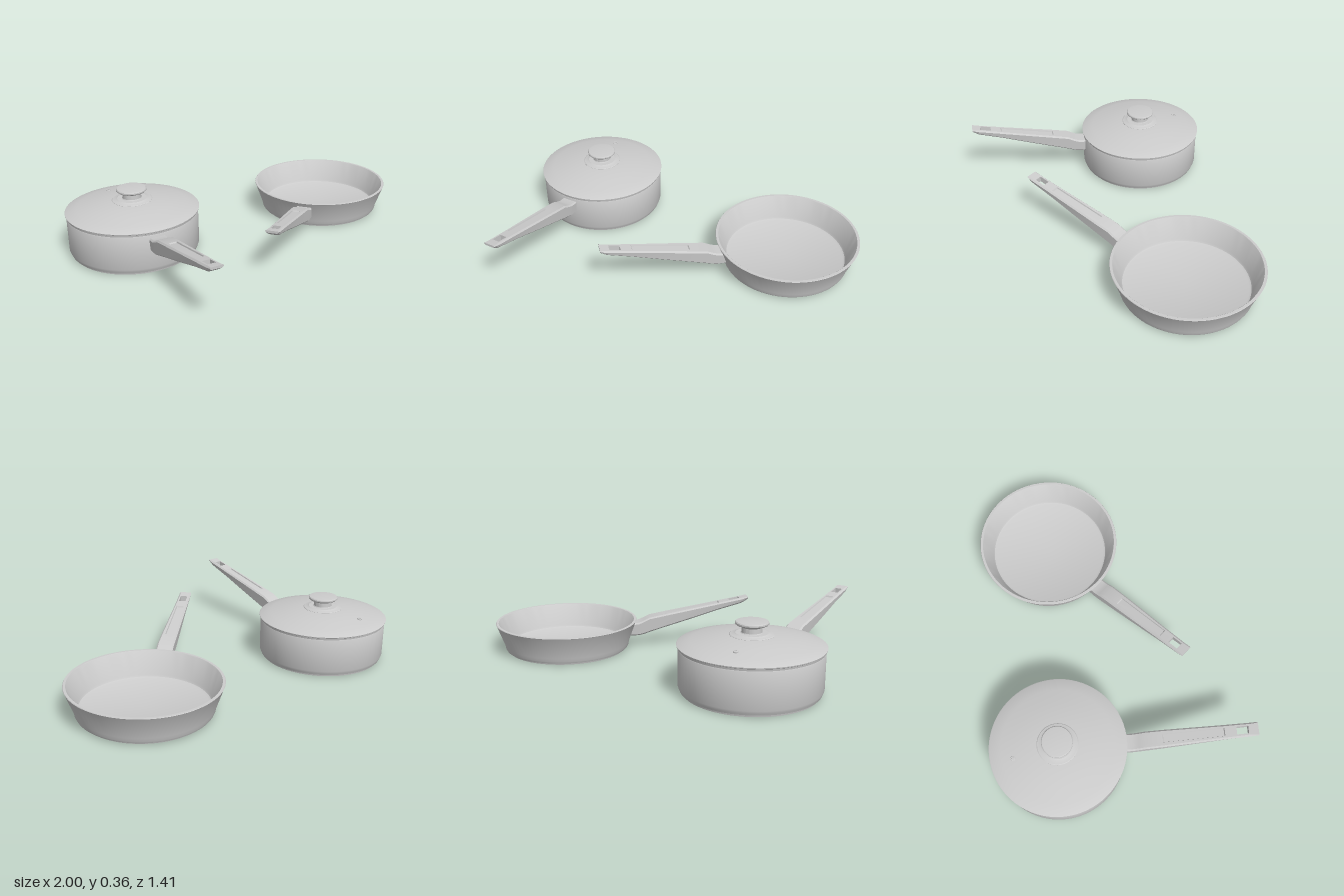
import * as THREE from 'three';
import { toCreasedNormals } from 'three/addons/utils/BufferGeometryUtils.js';

const grey = new THREE.MeshStandardMaterial({ color: 0xcccccc });

function mesh(name, geometry, crease = 0.5) {
  const m = new THREE.Mesh(toCreasedNormals(geometry, crease), grey);
  m.name = name;
  return m;
}

// Revolved part; the profile runs from the bottom, up the outside, to the inside
function turned(name, profile, segments = 72) {
  const points = profile.map(([r, y]) => new THREE.Vector2(r, y));
  return mesh(name, new THREE.LatheGeometry(points, segments));
}

// Handle stations: distance, half width, bottom, top, groove depth
const STATIONS = [
  [0, 0.047, 0.065, 0.14, 0],
  [0.045, 0.047, 0.066, 0.143, 0],
  [0.075, 0.047, 0.073, 0.155, 0],
  [0.11, 0.047, 0.085, 0.172, 0],
  [0.2, 0.046, 0.112, 0.189, 0],
  [0.204, 0.046, 0.113, 0.19, 0.007],
  [0.36, 0.042, 0.158, 0.2185, 0.007],
  [0.516, 0.038, 0.205, 0.247, 0.007],
  [0.52, 0.038, 0.206, 0.248, 0],
  [0.58, 0.037, 0.222, 0.259, 0],
  [0.64, 0.036, 0.238, 0.27, 0],
  [0.66, 0.036, 0.245, 0.274, 0],
  [0.69, 0.035, 0.266, 0.279, 0],
];
const HOLE = 9; // the hanging hole lies between this station and the next

// Lofted handle along +z with a top groove and a hanging hole
function handleGeometry(lean) {
  const rings = STATIONS.map(([s, hw, bottom, top, groove], k) => {
    const c = Math.min(0.008, (top - bottom) * 0.3);
    const columns = (w) => [-w, c - w, -0.022, -0.02, 0.02, 0.022, w - c, w];
    const upper = columns(hw).map((x, i) => {
      const drop = i === 0 || i === 7 ? c : i === 3 || i === 4 ? groove : 0;
      return [x, top - drop];
    });
    const lower = columns(hw * 0.9).reverse()
      .map((x, i) => [x, bottom + (i === 0 || i === 7 ? c : 0)]);
    // the first ring follows the slope of the pan wall
    return [...upper, ...lower].map(([x, y]) => [x, y, s + (k === 0 ? lean * (y - 0.1) : 0)]);
  });
  const positions = [];
  const quad = (a, b, c, d) => positions.push(...a, ...b, ...c, ...a, ...c, ...d);

  for (let k = 0; k < rings.length - 1; k++) {
    const p = rings[k], q = rings[k + 1];
    for (let i = 0; i < 16; i++) {
      if (k === HOLE && (i === 3 || i === 11)) continue;
      const j = (i + 1) % 16;
      quad(p[i], q[i], q[j], p[j]);
    }
    // walls of the hanging hole
    if (k === HOLE) {
      quad(p[3], q[3], q[12], p[12]);
      quad(p[4], p[11], q[11], q[4]);
      quad(p[4], p[3], p[12], p[11]);
      quad(q[3], q[4], q[11], q[12]);
    }
  }
  // end caps
  const first = rings[0], last = rings[rings.length - 1];
  for (let i = 0; i < 7; i++) {
    quad(first[i], first[i + 1], first[14 - i], first[15 - i]);
    quad(last[i + 1], last[i], last[15 - i], last[14 - i]);
  }
  const g = new THREE.BufferGeometry();
  g.setAttribute('position', new THREE.Float32BufferAttribute(positions, 3));
  return g;
}

function handle(name, start, height, dx, dz, lean) {
  const group = new THREE.Group();
  group.name = name;
  const grip = mesh(name + 'Grip', handleGeometry(lean), 0.4);
  grip.position.set(0, height, start);
  group.add(grip);
  group.rotation.y = Math.atan2(dx, dz);
  return group;
}

function fryingPan() {
  const pan = new THREE.Group();
  pan.name = 'fryingPan';
  pan.add(turned('panBody', [
    [0, 0], [0.335, 0], [0.338, 0.01], [0.35, 0.012], [0.355, 0.022], [0.358, 0.04],
    [0.401, 0.16], [0.403, 0.163], [0.401, 0.166], [0.388, 0.166], [0.385, 0.163],
    [0.342, 0.042], [0.336, 0.032], [0.325, 0.027], [0, 0.025],
  ]));
  pan.add(handle('panHandle', 0.371, 0, -0.795, 0.607, 0.36));
  pan.position.set(0.595, 0, -0.217);
  return pan;
}

function saucepan() {
  const pot = new THREE.Group();
  pot.name = 'saucepan';
  pot.add(turned('potBody', [
    [0, 0], [0.338, 0], [0.34, 0.01], [0.349, 0.012], [0.353, 0.022], [0.358, 0.035],
    [0.358, 0.218], [0.356, 0.222], [0.345, 0.222], [0.343, 0.218],
    [0.343, 0.045], [0.335, 0.03], [0.32, 0.025], [0, 0.025],
  ]));
  pot.add(handle('potHandle', 0.352, 0.065, -0.101, 0.995, 0));

  // Domed lid with a rim, a vent and a knob
  const lid = new THREE.Group();
  lid.name = 'lid';
  lid.add(turned('lidDome', [
    [0, 0.28], [0.11, 0.275], [0.22, 0.257], [0.33, 0.228], [0.335, 0.21], [0.34, 0.21],
    [0.341, 0.222], [0.357, 0.222], [0.359, 0.232], [0.364, 0.235], [0.365, 0.24],
    [0.36, 0.243], [0.3, 0.257], [0.23, 0.272], [0.16, 0.283], [0.1, 0.289], [0, 0.292],
  ]));
  lid.add(turned('knobBase', [
    [0, 0.28], [0.11, 0.28], [0.11, 0.289], [0.106, 0.292], [0.085, 0.295],
    [0.08, 0.298], [0, 0.298],
  ], 48));
  lid.add(turned('knob', [
    [0, 0.295], [0.056, 0.295], [0.051, 0.302], [0.05, 0.326], [0.056, 0.333], [0.077, 0.338],
    [0.082, 0.343], [0.082, 0.35], [0.078, 0.355], [0.06, 0.357], [0, 0.358],
  ], 48));
  const vent = turned('steamVent', [
    [0, 0.255], [0.013, 0.255], [0.013, 0.273], [0.011, 0.275], [0.006, 0.275],
    [0.006, 0.262], [0, 0.262],
  ], 20);
  vent.position.set(-0.032, 0, -0.24);
  lid.add(vent);
  pot.add(lid);
  pot.position.set(-0.635, 0, -0.34);
  return pot;
}

export function createModel() {
  const set = new THREE.Group();
  set.name = 'cookwareSet';
  set.add(fryingPan(), saucepan());
  return set;
}
